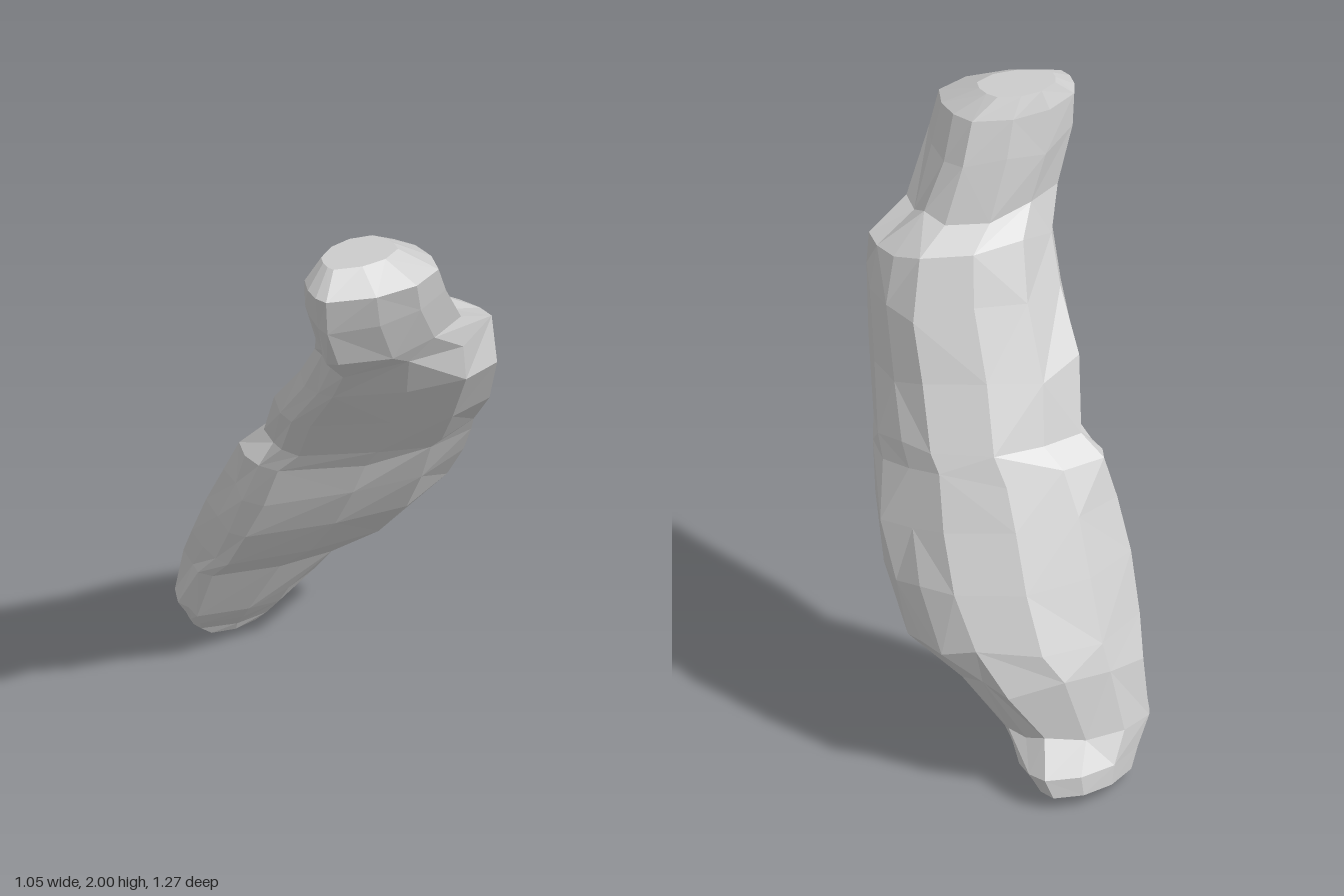
import * as THREE from 'three';

// Horizontal sections: y, xMin, xMax, zMin, zMax, z of the right-hand edge
const SECTIONS = [
  [0.01, -0.45, -0.25, -0.55, -0.30, -0.45],
  [0.04, -0.50, -0.20, -0.63, -0.28, -0.47],
  [0.10, -0.51, -0.15, -0.63, -0.22, -0.48],
  [0.18, -0.53, -0.10, -0.55, -0.16, -0.44],
  [0.36, -0.50, 0.06, -0.55, -0.10, -0.44],
  [0.47, -0.47, 0.22, -0.54, -0.01, -0.43],
  [0.64, -0.42, 0.33, -0.47, 0.07, -0.32],
  [0.80, -0.36, 0.39, -0.38, 0.11, -0.21],
  [0.95, -0.31, 0.42, -0.30, 0.13, -0.12],
  [1.01, -0.23, 0.43, -0.27, 0.14, -0.08],
  [1.20, -0.19, 0.49, -0.17, 0.26, 0.08],
  [1.40, -0.10, 0.52, -0.08, 0.39, 0.17],
  [1.56, -0.05, 0.50, 0.01, 0.48, 0.13],
  [1.65, -0.04, 0.41, 0.13, 0.57, 0.26],
  [1.82, -0.07, 0.37, 0.21, 0.63, 0.38],
  [1.94, -0.07, 0.35, 0.27, 0.64, 0.43],
  [2.00, -0.02, 0.22, 0.34, 0.54, 0.41],
];
const PER_QUARTER = 3;
const SIDES = PER_QUARTER * 4;
const { lerp } = THREE.MathUtils;

function seededRandom(seed) {
  return () => {
    seed = (seed * 16807) % 2147483647;
    return seed / 2147483647;
  };
}

// Closed oblique outline through right, front, left and back extremes,
// slightly flattened between them
function outline([, xMin, xMax, zMin, zMax, zRight]) {
  const ends = [
    [xMax, zRight],
    [lerp(xMin, xMax, 0.18), zMax],
    [xMin, lerp(zMin, zMax, 0.67)],
    [lerp(xMin, xMax, 0.64), zMin],
  ];
  const points = [];
  for (let q = 0; q < 4; q++) {
    const a = ends[q], b = ends[(q + 1) % 4];
    for (let i = 0; i < PER_QUARTER; i++) {
      const t = i / PER_QUARTER;
      const s = Math.sin(t * Math.PI / 2), c = 1 - Math.cos(t * Math.PI / 2);
      const kx = lerp(q % 2 ? s : c, t, 0.25);
      const kz = lerp(q % 2 ? c : s, t, 0.25);
      points.push([lerp(a[0], b[0], kx), lerp(a[1], b[1], kz)]);
    }
  }
  return points;
}

function createRockGeometry() {
  const random = seededRandom(71);
  const positions = [], indices = [];
  const last = SECTIONS.length - 1;
  const centreOf = ([, xMin, xMax, zMin, zMax]) => [(xMin + xMax) / 2, (zMin + zMax) / 2];

  // Rings, with uneven heights and small dents so the facets look chipped
  SECTIONS.forEach((section, r) => {
    const [cx, cz] = centreOf(section);
    const rough = r > 2 && r < last - 1 ? 1 : 0;
    outline(section).forEach(([x, z], i) => {
      const dent = i % PER_QUARTER ? 1 - rough * 0.09 * (random() - 0.35) : 1;
      const dy = rough * 0.045 * (random() - 0.5);
      positions.push(cx + (x - cx) * dent, section[0] + dy, cz + (z - cz) * dent + dy * 0.5);
    });
  });

  // Side facets with varied diagonals
  for (let r = 0; r < last; r++) {
    for (let i = 0; i < SIDES; i++) {
      const a = r * SIDES + i, b = r * SIDES + (i + 1) % SIDES;
      const c = a + SIDES, d = b + SIDES;
      if ((r + i) % 3) indices.push(a, c, b, b, c, d);
      else indices.push(a, c, d, a, d, b);
    }
  }

  // Bottom and top caps
  for (const [r, y] of [[0, 0], [last, 2]]) {
    const [cx, cz] = centreOf(SECTIONS[r]);
    const centre = positions.length / 3;
    positions.push(cx, y, cz);
    for (let i = 0; i < SIDES; i++) {
      const a = r * SIDES + i, b = r * SIDES + (i + 1) % SIDES;
      if (r) indices.push(centre, b, a);
      else indices.push(centre, a, b);
    }
  }

  const geometry = new THREE.BufferGeometry();
  geometry.setAttribute('position', new THREE.Float32BufferAttribute(positions, 3));
  geometry.setIndex(indices);
  const faceted = geometry.toNonIndexed();
  faceted.computeVertexNormals();
  return faceted;
}

export function createModel() {
  const group = new THREE.Group();
  group.name = 'leaningRock';
  const material = new THREE.MeshStandardMaterial({ color: 0xcccccc, flatShading: true });
  const rock = new THREE.Mesh(createRockGeometry(), material);
  rock.name = 'rock';
  group.add(rock);
  return group;
}
